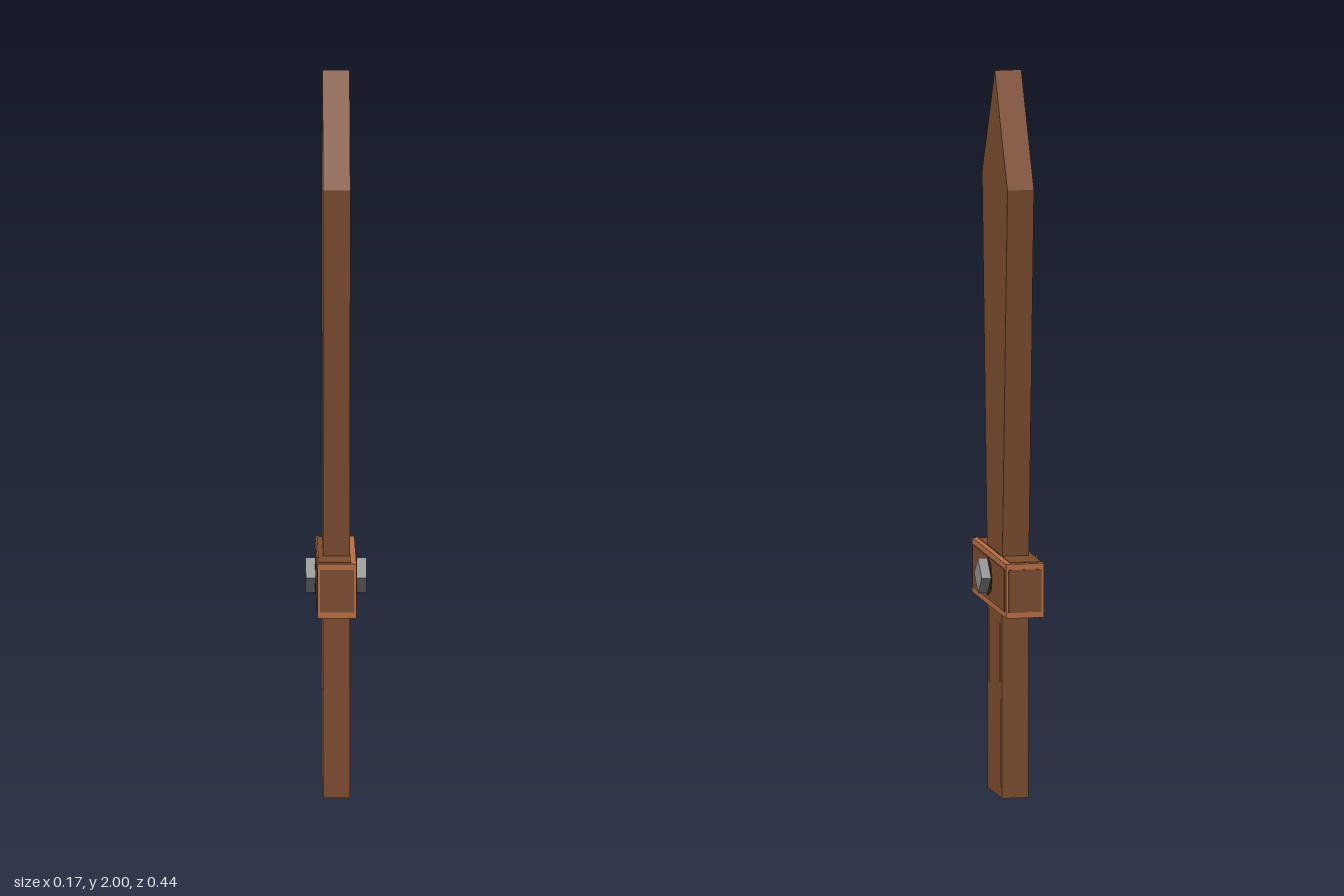
import * as THREE from 'three';

const mat = (name, color) => {
  const m = new THREE.MeshStandardMaterial({ color });
  m.name = name;
  return m;
};

export function createModel() {
  const group = new THREE.Group();
  const wood = mat('brown wood', 0x7e4d2f);
  const worn = mat('worn light wood', 0xba7047);
  const dark = mat('dark wood', 0x402718);
  const metal = mat('grey metal', 0x929292);

  const add = (name, geometry, material, x = 0, y = 0, z = 0) => {
    const mesh = new THREE.Mesh(geometry, material);
    mesh.name = name;
    mesh.position.set(x, y, z);
    group.add(mesh);
    return mesh;
  };
  const box = (name, size, material, x, y, z) =>
    add(name, new THREE.BoxGeometry(...size), material, x, y, z);

  // Blade: flat plank widening towards a pointed tip
  const T = 0.074;
  const outline = [[-0.094, 0.6], [0.094, 0.6], [0.163, 1.695], [0, 2], [-0.163, 1.695]];
  const shape = new THREE.Shape(outline.map(([z, y]) => new THREE.Vector2(z, y)));
  const blade = new THREE.ExtrudeGeometry(shape, { depth: T, bevelEnabled: false });
  blade.translate(0, 0, -T / 2).rotateY(-Math.PI / 2);
  add('blade', blade, wood);

  // Grip
  box('grip', [T, 0.6, 0.188], wood, 0, 0.3, 0);

  // Crossguard: worn edges, with a brown panel on each of its six faces
  const gy = 0.595;
  box('crossguard', [0.106, 0.15, 0.44], worn, 0, gy, 0);
  box('guardSidePanels', [0.110, 0.118, 0.405], wood, 0, gy, 0);
  box('guardTopPanels', [0.088, 0.153, 0.405], wood, -0.006, gy, 0);
  box('guardEndPanels', [0.092, 0.118, 0.443], wood, 0, gy, 0);

  // Square bolt through the guard, standing on its corner
  const bolt = box('bolt', [0.166, 0.069, 0.069], metal, 0, 0.602, 0.004);
  bolt.rotation.x = Math.PI / 4;
  const stain = new THREE.CylinderGeometry(0.052, 0.052, 0.114, 8).rotateZ(Math.PI / 2);
  add('boltShade', stain, dark, 0, 0.6, 0.002);

  // Thin worn streaks along the grip edges, on both flat sides
  for (const [y, h, z, w] of [[0.4, 0.2, 0.07, 0.007], [0.15, 0.24, -0.083, 0.01], [0.4, 0.16, -0.07, 0.006]]) {
    box('wornStreak', [T + 0.003, h, w], worn, 0, y, z);
  }
  return group;
}
